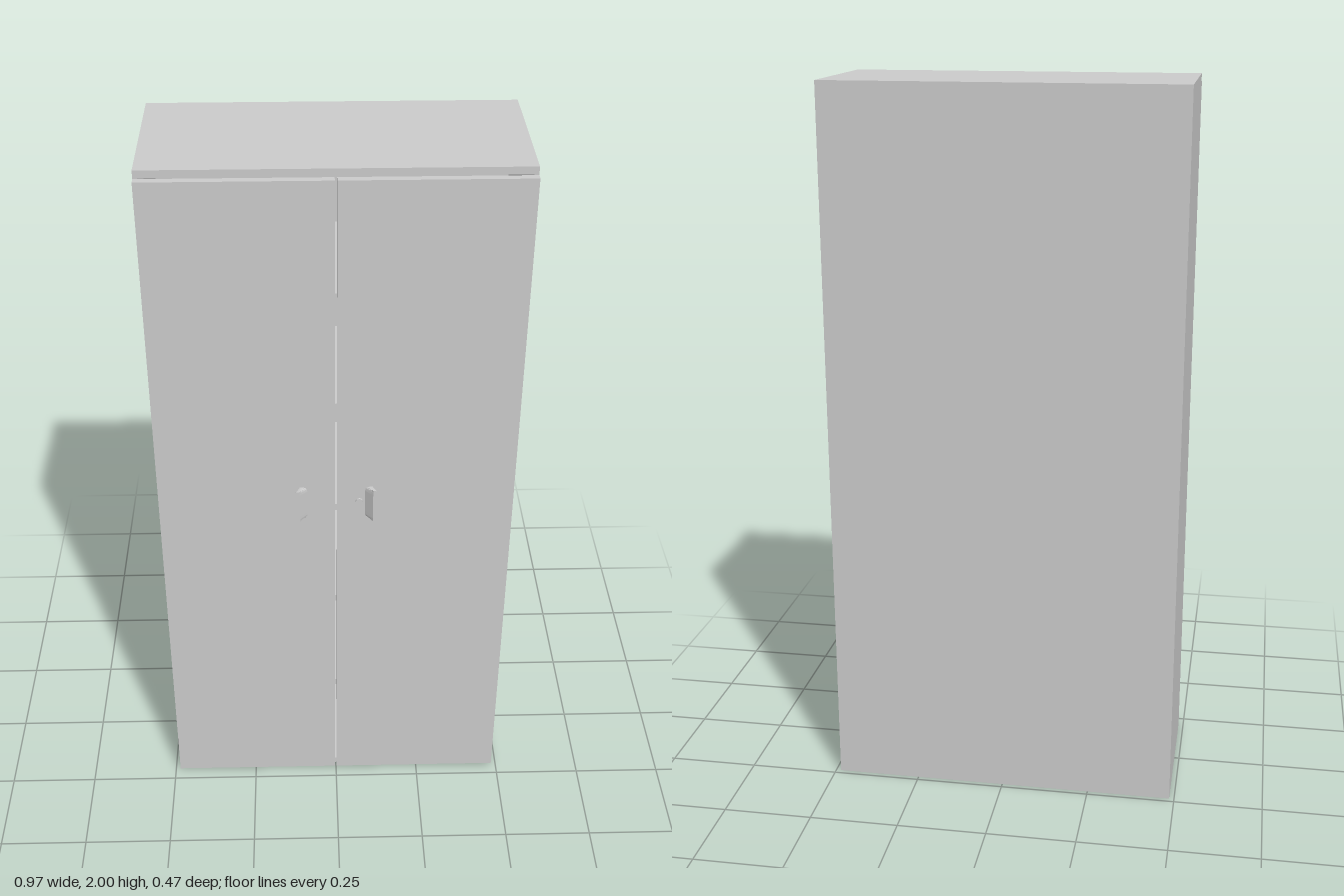
import * as THREE from 'three';
import { toCreasedNormals } from 'three/addons/utils/BufferGeometryUtils.js';

const WIDTH = 0.972, HEIGHT = 2, BACK = -0.235, BODY_FRONT = 0.193, DOOR_FRONT = 0.213;
const PANEL = 0.012, TOP_PANEL = 0.02;

export function createModel() {
  const group = new THREE.Group();
  const material = new THREE.MeshStandardMaterial({ color: 0xcccccc });

  const add = (name, geometry) => {
    const mesh = new THREE.Mesh(geometry, material);
    mesh.name = name;
    group.add(mesh);
    return mesh;
  };
  // Box given by its opposite corners
  const box = (name, x0, x1, y0, y1, z0, z1) =>
    add(name, new THREE.BoxGeometry(x1 - x0, y1 - y0, z1 - z0))
      .position.set((x0 + x1) / 2, (y0 + y1) / 2, (z0 + z1) / 2);

  // Carcass
  const h = WIDTH / 2, inner = h - PANEL, top = HEIGHT - TOP_PANEL;
  box('topPanel', -h, h, top, HEIGHT, BACK, BODY_FRONT);
  box('bottomPanel', -h, h, 0, TOP_PANEL, BACK, BODY_FRONT);
  box('backPanel', -inner, inner, TOP_PANEL, top, BACK, BACK + PANEL);
  box('rightSide', -h, -inner, TOP_PANEL, top, BACK, BODY_FRONT);
  box('leftSide', inner, h, TOP_PANEL, top, BACK, BODY_FRONT);

  // Five evenly spaced shelves
  for (let i = 1; i <= 5; i++) {
    const y = 0.012 + i * 0.328;
    box('shelf' + i, -inner, inner, y - 0.01, y + 0.01, BACK + PANEL, BODY_FRONT - 0.004);
  }

  // Doors, with a narrow gap between them
  box('rightDoor', -h, -0.004, 0.004, 1.978, BODY_FRONT, DOOR_FRONT);
  box('leftDoor', 0.002, h, 0.004, 1.978, BODY_FRONT, DOOR_FRONT);

  // Flared pull handles with rounded corners
  for (const side of [-1, 1]) {
    const profile = [[0.078, 0.212], [0.100, 0.234], [0.118, 0.234], [0.107, 0.229], [0.099, 0.212]];
    const shape = new THREE.Shape(profile.map(([x, z]) => new THREE.Vector2(side * x, -z)));
    const length = 0.102, r = 0.012;
    const geometry = new THREE.ExtrudeGeometry(shape, { depth: length, steps: 32, bevelEnabled: false });
    geometry.rotateX(-Math.PI / 2);
    const p = geometry.attributes.position;
    for (let i = 0; i < p.count; i++) {
      const y = length * (1 - Math.cos(Math.PI * p.getY(i) / length)) / 2;
      const d = Math.max(0, r - Math.min(y, length - y));
      const inset = r - Math.sqrt(Math.max(0, r * r - d * d));
      const x = THREE.MathUtils.clamp(Math.abs(p.getX(i)), 0.078 + inset, 0.118 - inset);
      p.setXYZ(i, side * x, y, p.getZ(i));
    }
    const handle = add(side < 0 ? 'rightHandle' : 'leftHandle', toCreasedNormals(geometry, 0.5));
    handle.position.y = 0.978;
  }

  // Key lock beside the left handle
  const lock = add('lock', new THREE.CylinderGeometry(0.009, 0.01, 0.004, 32));
  lock.rotation.x = Math.PI / 2;
  lock.position.set(0.063, 1.032, DOOR_FRONT + 0.001);
  box('keySlot', 0.062, 0.064, 1.026, 1.038, DOOR_FRONT, DOOR_FRONT + 0.0036);

  return group;
}
